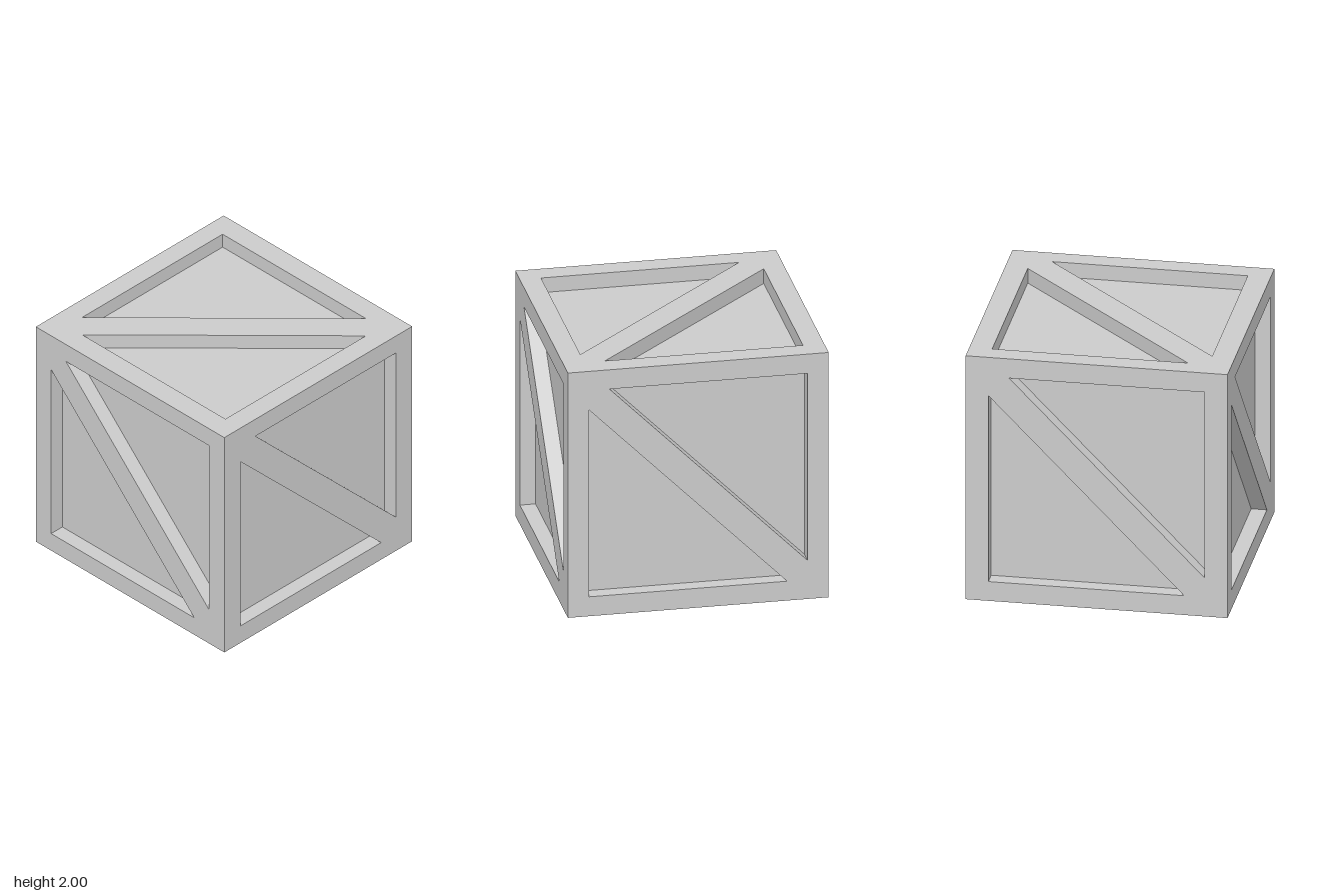
import * as THREE from 'three';

const DEPTH = 0.12; // how far the panels are set back
const GAP = 0.157;  // half the brace, measured along an edge

const material = new THREE.MeshStandardMaterial({
  color: 0xcccccc, flatShading: true, side: THREE.DoubleSide,
});

function mesh(name, geometry) {
  const m = new THREE.Mesh(geometry, material);
  m.name = name;
  return m;
}

// Side walls of a recess: one quad per edge, facing into the opening
function recessWalls(points) {
  const positions = [];
  points.forEach((p, i) => {
    const q = points[(i + 1) % points.length];
    positions.push(
      p.x, p.y, 0, p.x, p.y, -DEPTH, q.x, q.y, -DEPTH,
      p.x, p.y, 0, q.x, q.y, -DEPTH, q.x, q.y, 0,
    );
  });
  const g = new THREE.BufferGeometry();
  g.setAttribute('position', new THREE.Float32BufferAttribute(positions, 3));
  g.computeVertexNormals();
  return g;
}

// One side of the crate: square frame, diagonal brace, two recessed triangles
function createSide(name, w, h) {
  const side = new THREE.Group();
  side.name = name;

  const lower = [[-w, -h], [w - GAP, -h], [-w, h - GAP]];
  const triangles = [lower, lower.map(([x, y]) => [-x, -y])]
    .map((t) => t.map(([x, y]) => new THREE.Vector2(x, y)));

  const frame = new THREE.Shape([[-1, -1], [1, -1], [1, 1], [-1, 1]]
    .map(([x, y]) => new THREE.Vector2(x, y)));
  frame.holes = triangles.map((t) => new THREE.Path([...t].reverse()));
  side.add(mesh('bracedFrame', new THREE.ShapeGeometry(frame)));

  triangles.forEach((t, i) => {
    const label = i === 0 ? 'lower' : 'upper';
    const panel = mesh(label + 'Panel', new THREE.ShapeGeometry(new THREE.Shape(t)));
    panel.position.z = -DEPTH;
    side.add(panel, mesh(label + 'RecessWalls', recessWalls(t)));
  });
  return side;
}

export function createModel() {
  const crate = new THREE.Group();
  crate.name = 'crate';

  // Four upright sides around a hollow, open-bottomed crate
  ['frontSide', 'rightSide', 'backSide', 'leftSide'].forEach((name, i) => {
    const side = createSide(name, i % 2 ? 0.838 : 0.826, 0.842);
    const angle = i * Math.PI / 2;
    side.rotation.y = angle;
    side.position.set(Math.sin(angle), 1, Math.cos(angle));
    crate.add(side);
  });

  // Lid
  const top = createSide('topSide', 0.826, 0.838);
  top.rotation.x = -Math.PI / 2;
  top.position.y = 2;
  crate.add(top);

  return crate;
}
